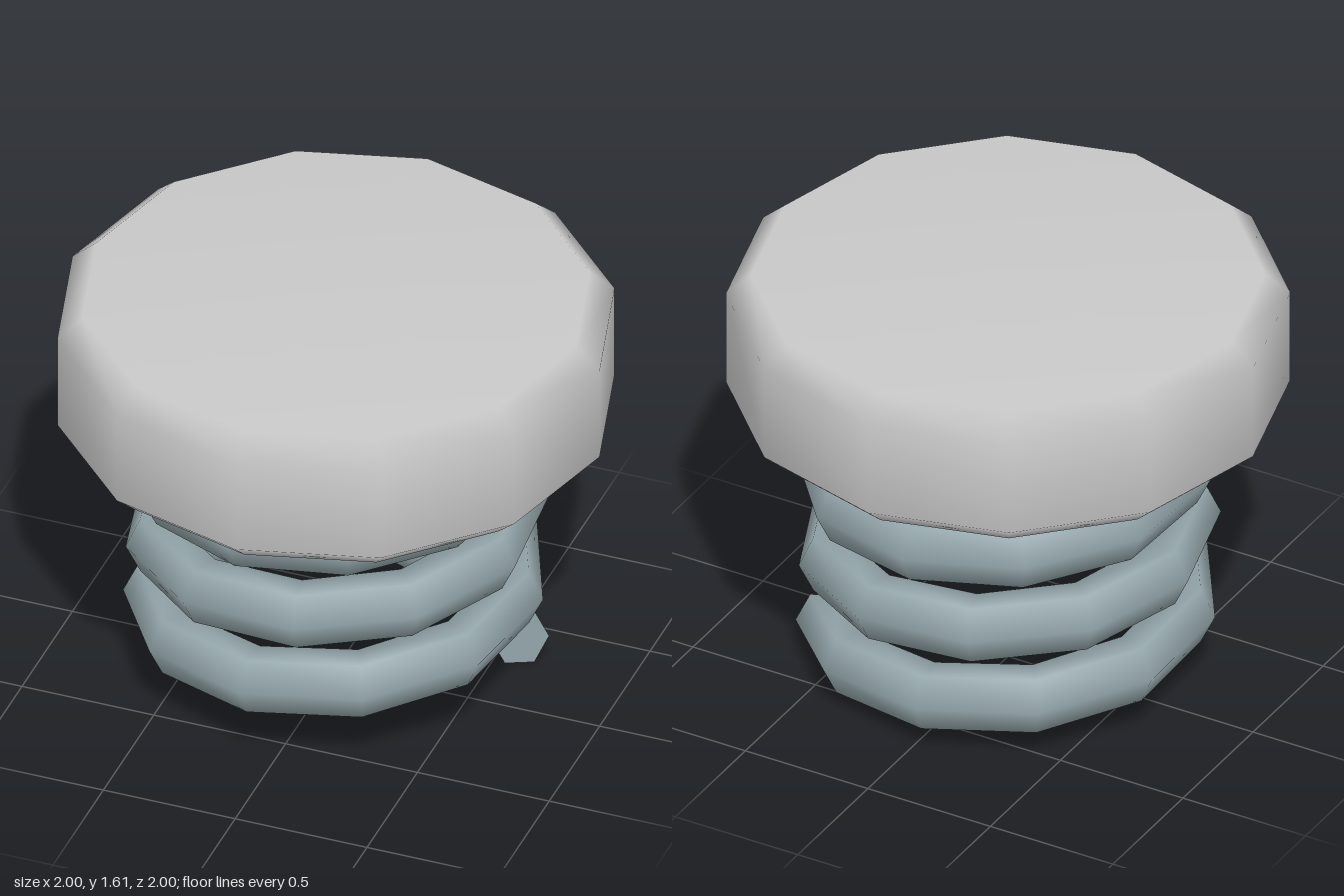
import * as THREE from 'three';

const capMaterial = new THREE.MeshStandardMaterial({ color: 0xc8c8c8 });
capMaterial.name = 'light grey';
const springMaterial = new THREE.MeshStandardMaterial({ color: 0x93a5aa });
springMaterial.name = 'steel blue';

// Twelve-sided pad with bevelled rims
function makeCap() {
  const profile = [[0, 1.08], [0.91, 1.08], [1, 1.16], [1, 1.53], [0.91, 1.61], [0, 1.61]];
  const geometry = new THREE.LatheGeometry(profile.map(([r, y]) => new THREE.Vector2(r, y)), 12);
  const mesh = new THREE.Mesh(geometry, capMaterial);
  mesh.name = 'cap';
  return mesh;
}

// Six-sided wire swept along a coarse helix; first and last steps are steeper
function makeSpring() {
  const steps = 32, sides = 6, stepAngle = THREE.MathUtils.degToRad(34.1);
  const start = THREE.MathUtils.degToRad(25);
  const positions = [], index = [];
  for (let i = 0; i <= steps; i++) {
    const a = start + i * stepAngle;
    let y = 0.142 + i * 0.0292;
    if (i === 0) y = 0.11;
    if (i === steps) y = 1.2;
    for (let j = 0; j < sides; j++) {
      const t = (j / sides) * Math.PI * 2;
      const out = Math.cos(t) * 0.105;
      positions.push(
        Math.cos(a) * (0.655 + out),
        y + Math.sin(t) * 0.127,
        -Math.sin(a) * (0.635 + out)
      );
    }
  }
  for (let i = 0; i < steps; i++) {
    for (let j = 0; j < sides; j++) {
      const k = (j + 1) % sides;
      const a = i * sides + j, b = i * sides + k;
      index.push(a, a + sides, b, b, a + sides, b + sides);
    }
  }
  // Flat wire ends with their own vertices
  for (const ring of [0, steps]) {
    const base = positions.length / 3;
    positions.push(...positions.slice(ring * sides * 3, (ring + 1) * sides * 3));
    for (let j = 1; j < sides - 1; j++) {
      if (ring === 0) index.push(base, base + j, base + j + 1);
      else index.push(base, base + j + 1, base + j);
    }
  }
  const geometry = new THREE.BufferGeometry();
  geometry.setAttribute('position', new THREE.Float32BufferAttribute(positions, 3));
  geometry.setIndex(index);
  geometry.computeVertexNormals();
  const mesh = new THREE.Mesh(geometry, springMaterial);
  mesh.name = 'spring';
  return mesh;
}

export function createModel() {
  const model = new THREE.Group();
  model.name = 'springPad';
  model.add(makeCap(), makeSpring());
  return model;
}
